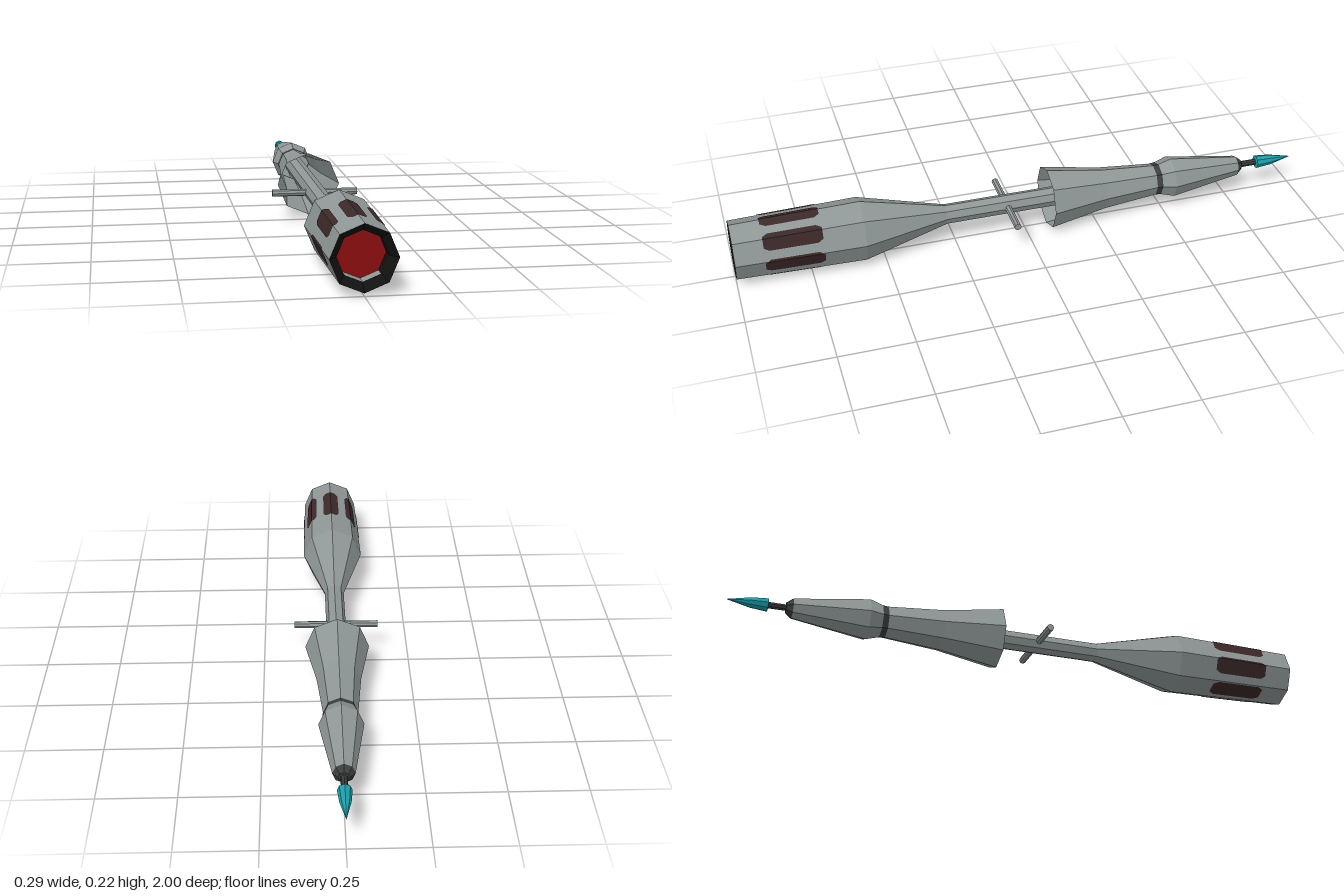
import * as THREE from 'three';

const flat = (name, color, side = THREE.FrontSide) => {
  const m = new THREE.MeshStandardMaterial({ color, flatShading: true, side });
  m.name = name;
  return m;
};

export function createModel() {
  const grey = flat('grey metal', 0x8f9797, THREE.DoubleSide);
  const dark = flat('dark metal', 0x3b3e3e);
  const black = flat('black rim', 0x111111);
  const red = flat('red emitter', 0x8a0f0f);
  const cyan = flat('cyan crystal', 0x1a9faa);
  const brown = flat('dark brown grip', 0x3c2828, THREE.DoubleSide);

  const model = new THREE.Group();
  model.name = 'handle';
  const body = new THREE.Group();
  body.name = 'body';
  body.position.y = 0.11;
  model.add(body);

  const add = (name, geometry, material) => {
    const mesh = new THREE.Mesh(geometry, material);
    mesh.name = name;
    body.add(mesh);
    return mesh;
  };

  // Eight-sided part turned around the z axis from [radius, z] points;
  // z rising faces outwards, z falling faces inwards
  const turned = (name, material, profile, segments = 8, start = 0, sweep = Math.PI * 2) => {
    const points = profile.map(([r, z]) => new THREE.Vector2(r, z));
    const geometry = new THREE.LatheGeometry(points, segments, start, sweep);
    geometry.rotateX(Math.PI / 2);
    return add(name, geometry, material);
  };

  // Front barrel flowing into the thin shaft
  turned('barrel', grey, [[0.034, -0.5], [0.034, 0.28], [0.108, 0.57], [0.099, 1]]);

  // Recessed mouth with the emitter disc
  turned('mouthRim', black, [[0.099, 1], [0.074, 0.97]]);
  turned('mouthWall', black, [[0.074, 0.97], [0.074, 0.93]], 6, Math.PI / 4, Math.PI * 1.5);
  turned('mouthFloor', grey, [[0.074, 0.97], [0.074, 0.93]], 2, -Math.PI / 4, Math.PI / 2);
  turned('emitter', red, [[0.074, 0.93], [0, 0.93]]);

  // Rear bell, open towards the shaft, with neck band and end cap
  turned('rearBell', grey, [[0.056, -0.47], [0.073, -0.28], [0.108, -0.08]]);
  turned('neckBand', dark, [[0.058, -0.49], [0.056, -0.47]]);
  turned('rearCone', grey, [[0.035, -0.785], [0.072, -0.535], [0.058, -0.49]]);
  turned('endCap', dark, [[0, -0.805], [0.018, -0.805], [0.035, -0.785]]);

  // Pin and crystal tip
  turned('tipPin', dark, [[0.011, -0.88], [0.011, -0.8]]);
  turned('crystal', cyan, [[0, -1], [0.018, -0.92], [0.023, -0.865], [0, -0.86]]);

  // Cross bar through the shaft
  const bar = new THREE.CylinderGeometry(0.012, 0.012, 0.29, 8);
  bar.rotateZ(Math.PI / 2);
  add('crossBar', bar, grey).position.z = 0.065;

  // Seven grip plates wrapped over the barrel facets
  const deg = Math.PI / 180;
  const surface = (angle, z) => {
    const R = THREE.MathUtils.mapLinear(z, 0.57, 1, 0.108, 0.099) + 0.002;
    const local = (((angle % 45) + 45) % 45) - 22.5;
    const r = R * Math.cos(22.5 * deg) / Math.cos(local * deg);
    return [r * Math.cos(angle * deg), r * Math.sin(angle * deg), z];
  };
  for (let i = 0; i < 7; i++) {
    const mid = 90 + i * 360 / 7;
    const half = 17;
    const angles = [mid - half, mid - half + 6, mid + half - 6, mid + half];
    const corner = Math.round(mid / 45) * 45;
    if (Math.abs(corner - mid) < half) angles.push(corner);
    angles.sort((a, b) => a - b);
    const positions = [];
    const index = [];
    angles.forEach((a, k) => {
      // Clipped corners at both ends
      const cut = 0.018 * THREE.MathUtils.clamp((Math.abs(a - mid) - half + 6) / 6, 0, 1);
      positions.push(...surface(a, 0.708 + cut), ...surface(a, 0.902 - cut));
      if (k) {
        const n = 2 * k;
        index.push(n - 2, n, n - 1, n, n + 1, n - 1);
      }
    });
    const plate = new THREE.BufferGeometry();
    plate.setAttribute('position', new THREE.Float32BufferAttribute(positions, 3));
    plate.setIndex(index);
    plate.computeVertexNormals();
    add('gripPlate', plate, brown);
  }

  return model;
}
